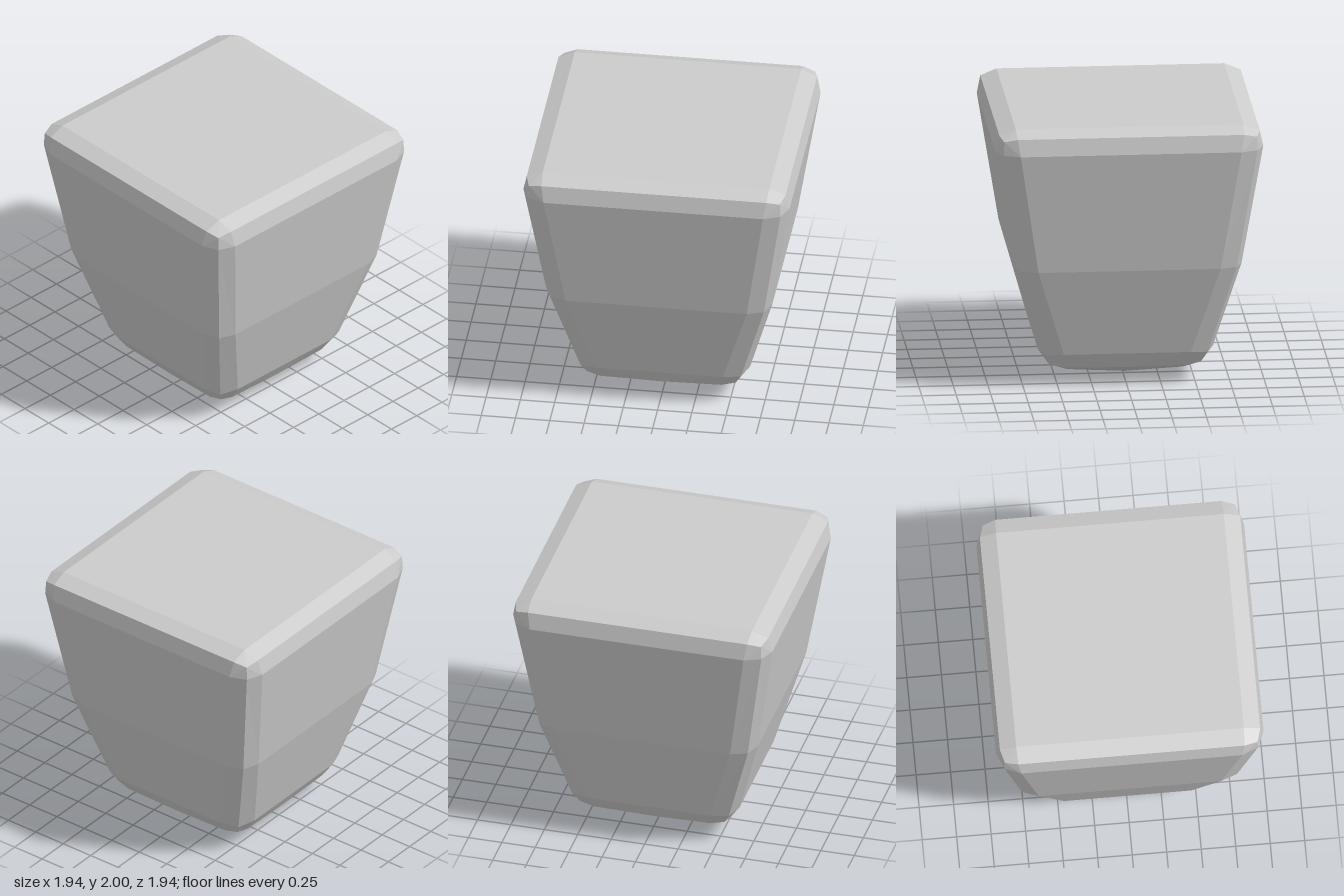
import * as THREE from 'three';

// Rings from the underside's tip up to the middle of the top.
// w: half width of a side, f: half length of its flat part, c: corner,
// y: heights at the middle of a side, the end of the flat part and the corner.
const rings = [
  { w: 0, f: 0, c: 0, y: [0, 0, 0] },
  { w: 0.42, f: 0.42, c: 0.42, y: [0.06, 0.083, 0.083] },
  { w: 0.555, f: 0.44, c: 0.54, y: [0.125, 0.133, 0.152] },
  { w: 0.635, f: 0.46, c: 0.585, y: [0.25, 0.25, 0.235] },
  { w: 0.825, f: 0.66, c: 0.78, y: [0.92, 0.92, 0.92] },
  { w: 0.97, f: 0.8, c: 0.92, y: [1.83, 1.83, 1.83] },
  { w: 0.943, f: 0.82, c: 0.915, y: [1.953, 1.953, 1.93] },
  { w: 0.825, f: 0.825, c: 0.825, y: [2, 2, 2] },
  { w: 0, f: 0, c: 0, y: [2, 2, 2] },
];

// Sixteen points per ring: one quarter turned four times.
function ringPoints({ w, f, c, y }) {
  const quarter = [[0, y[0], w], [f, y[1], w], [c, y[2], c], [w, y[1], f]];
  const points = [];
  for (let k = 0; k < 4; k++) {
    for (const p of quarter) {
      let [x, h, z] = p;
      for (let t = 0; t < k; t++) [x, z] = [z, -x];
      points.push(new THREE.Vector3(x, h, z));
    }
  }
  return points;
}

function taperedBlockGeometry() {
  const loops = rings.map(ringPoints);
  const positions = [];
  const triangle = (a, b, c) => {
    // Leave out triangles that collapse to a line or point.
    if (new THREE.Triangle(a, b, c).getArea() < 1e-6) return;
    for (const p of [a, b, c]) positions.push(p.x, p.y, p.z);
  };
  for (let r = 0; r < loops.length - 1; r++) {
    const low = loops[r], high = loops[r + 1];
    for (let i = 0; i < 16; i++) {
      const j = (i + 1) % 16;
      // Mirror the diagonal on either side of each corner.
      if (i % 4 < 2) {
        triangle(low[i], low[j], high[j]);
        triangle(low[i], high[j], high[i]);
      } else {
        triangle(low[i], low[j], high[i]);
        triangle(low[j], high[j], high[i]);
      }
    }
  }
  const geometry = new THREE.BufferGeometry();
  geometry.setAttribute('position', new THREE.Float32BufferAttribute(positions, 3));
  geometry.computeVertexNormals();
  return geometry;
}

export function createModel() {
  const group = new THREE.Group();
  const material = new THREE.MeshStandardMaterial({ color: 0xcccccc, flatShading: true });
  const block = new THREE.Mesh(taperedBlockGeometry(), material);
  block.name = 'taperedBlock';
  group.add(block);
  return group;
}
